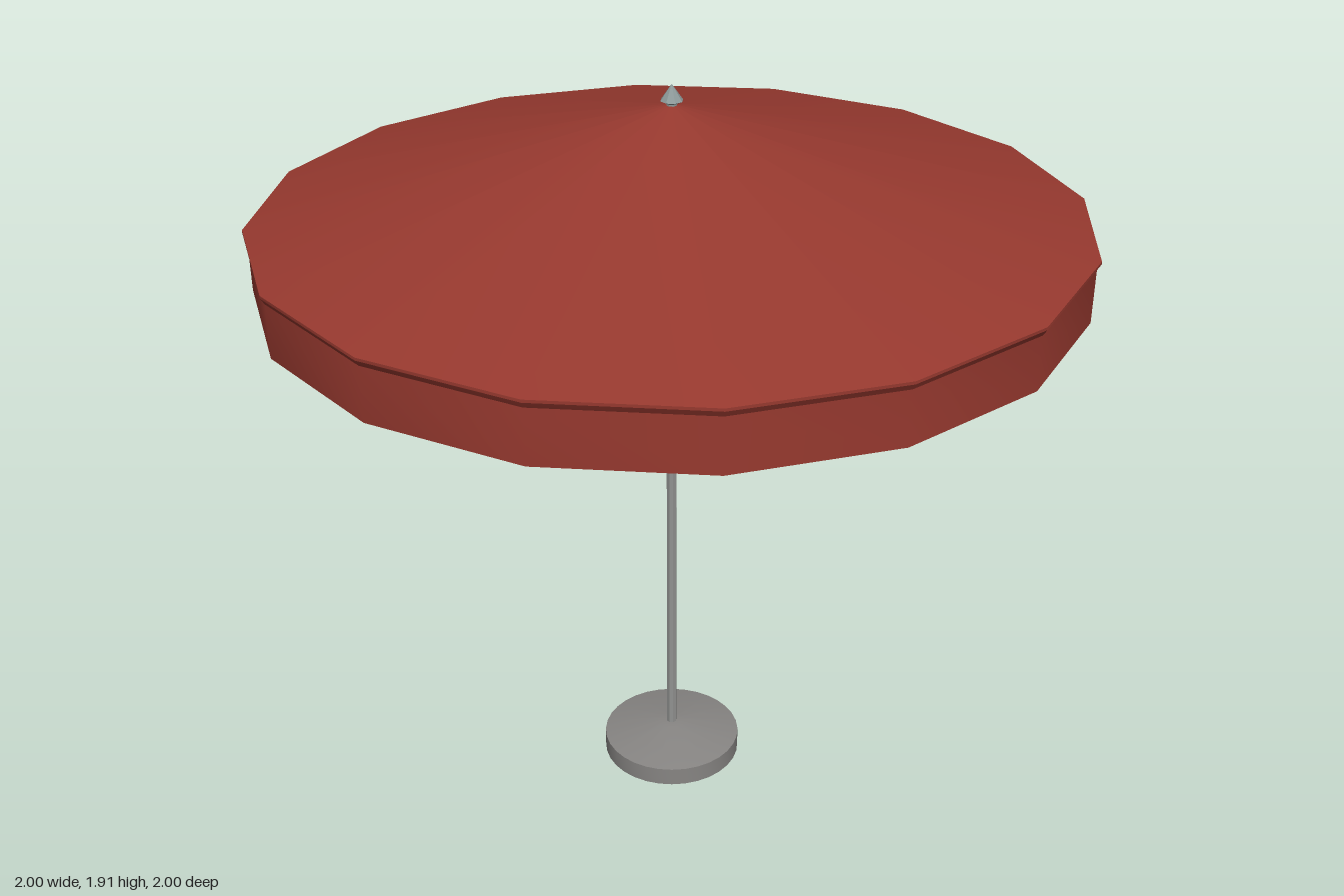
import * as THREE from 'three';
import { toCreasedNormals } from 'three/addons/utils/BufferGeometryUtils.js';

const SIDES = 16;

export function createModel() {
  const group = new THREE.Group();
  const material = (name, color) => {
    const m = new THREE.MeshStandardMaterial({ color });
    m.name = name;
    return m;
  };
  const canvas = material('red canvas', 0x97392f);
  const metal = material('grey metal', 0x929391);
  const stone = material('base grey', 0x878583);
  const steel = material('blue grey steel', 0x8d9a9a);

  const add = (name, geometry, mat, parent = group) => {
    const mesh = new THREE.Mesh(geometry, mat);
    mesh.name = name;
    parent.add(mesh);
    return mesh;
  };
  // Turned part from [radius, height] pairs listed bottom to top, edges kept sharp
  const turned = (points, sides, crease = 0.45) => {
    const g = new THREE.LatheGeometry(points.map(([r, y]) => new THREE.Vector2(r, y)), sides, Math.PI / sides);
    return toCreasedNormals(g, crease);
  };

  // Canopy: shallow cone over a valance with an undercut rim and closed underside
  const outer = 1 / Math.cos(Math.PI / SIDES);
  const rimY = 1.592, peakY = 1.867;
  add('canopyTop', new THREE.ConeGeometry(outer, peakY - rimY, SIDES, 1, true, Math.PI / SIDES), canvas)
    .position.y = (rimY + peakY) / 2;
  add('valance', turned([
    [0, 1.438], [outer - 0.009, 1.438], [outer - 0.009, 1.57], [outer, 1.585], [outer, rimY],
  ], SIDES), canvas);

  // Finial on the peak
  add('finial', turned([[0, 1.86], [0.013, 1.861], [0.013, 1.868], [0.028, 1.875], [0, 1.915]], 8, 0.3), steel);

  // Weighted base and pole
  add('base', turned([[0, 0], [0.185, 0], [0.185, 0.05], [0.035, 0.08], [0, 0.08]], 32), stone);
  add('pole', turned([[0, 0.07], [0.0135, 0.07], [0.0135, 1.45], [0, 1.45]], 8), metal);

  // Sliding hub: narrow collar below a wider ring
  add('hub', turned([
    [0, 1.225], [0.022, 1.225], [0.022, 1.26], [0.026, 1.263], [0.026, 1.3], [0, 1.3],
  ], 16), metal);

  // Eight struts rising from the hub to the canopy
  const struts = new THREE.Group();
  struts.name = 'struts';
  group.add(struts);
  const up = new THREE.Vector3(0, 1, 0);
  for (let i = 0; i < 8; i++) {
    const a = (i + 0.5) * Math.PI / 4;
    const at = (r, y) => new THREE.Vector3(r * Math.cos(a), y, r * Math.sin(a));
    const start = at(0.02, 1.248), end = at(0.25, 1.45);
    const dir = end.clone().sub(start);
    const strut = add('strut', new THREE.CylinderGeometry(0.005, 0.005, dir.length(), 6), steel, struts);
    strut.position.copy(start).add(end).multiplyScalar(0.5);
    strut.quaternion.setFromUnitVectors(up, dir.normalize());
  }

  // Crank housing on the left of the pole
  add('crankHousing', new THREE.BoxGeometry(0.077, 0.09, 0.022), stone).position.set(0.0465, 0.93, 0);

  return group;
}
